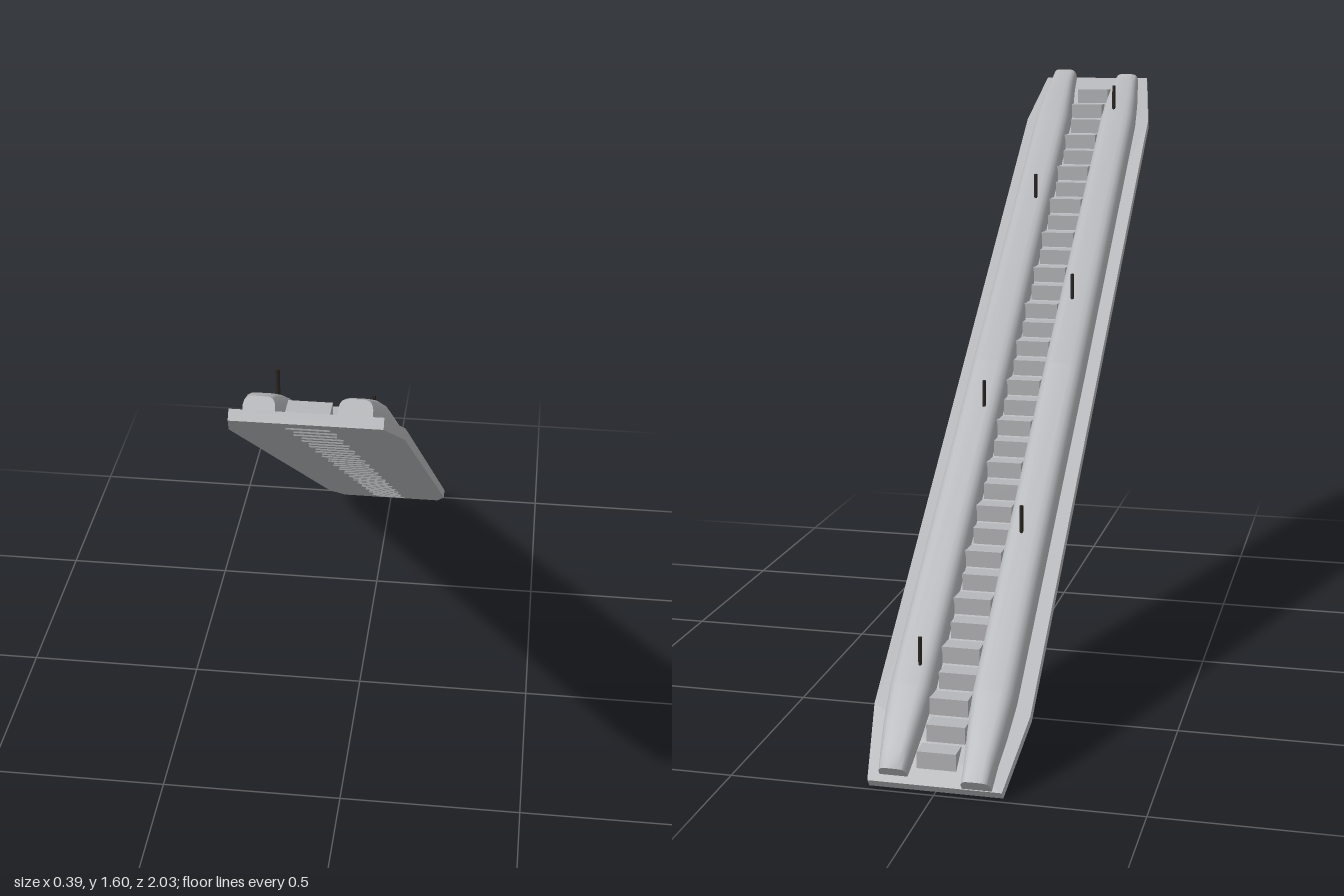
import * as THREE from 'three';
import { toCreasedNormals } from 'three/addons/utils/BufferGeometryUtils.js';

const SLOPE = Math.atan(0.78);

// Long rail lofted from cross-sections: [position, inner x, outer x, height]
function railGeometry() {
  const stations = [
    [-1.245, 0.068, 0.136, 0.034], [-1.2, 0.063, 0.141, 0.046], [-1.13, 0.056, 0.149, 0.053],
    [-1.03, 0.049, 0.156, 0.057], [0, 0.046, 0.158, 0.057], [1.03, 0.049, 0.156, 0.057],
    [1.13, 0.056, 0.149, 0.053], [1.2, 0.063, 0.141, 0.046], [1.262, 0.066, 0.138, 0.037],
  ];
  // Rounded section: across 0..1, up 0..1
  const section = [[0, 0], [0, 0.45], [0.03, 0.7], [0.09, 0.88], [0.18, 0.97], [0.3, 1],
    [0.7, 1], [0.82, 0.97], [0.91, 0.88], [0.97, 0.7], [1, 0.45], [1, 0]];
  const n = section.length, pos = [], idx = [];
  for (const [s, xi, xo, h] of stations)
    for (const [u, v] of section) pos.push(xi + (xo - xi) * u, v * h - 0.004, s);
  for (let i = 0; i < stations.length - 1; i++)
    for (let j = 0; j < n; j++) {
      const a = i * n + j, b = i * n + (j + 1) % n, c = a + n, d = b + n;
      idx.push(a, c, b, b, c, d);
    }
  const last = (stations.length - 1) * n;
  for (let j = 1; j < n - 1; j++) {
    idx.push(0, j, j + 1);
    idx.push(last, last + j + 1, last + j);
  }
  const g = new THREE.BufferGeometry();
  g.setAttribute('position', new THREE.Float32BufferAttribute(pos, 3));
  g.setIndex(idx);
  return toCreasedNormals(g, 0.7);
}

export function createModel() {
  const model = new THREE.Group();
  model.name = 'slopingStairway';
  const grey = new THREE.MeshStandardMaterial({ color: 0xb6b7ba });
  grey.name = 'light grey';
  const dark = new THREE.MeshStandardMaterial({ color: 0x2b2624 });
  dark.name = 'dark post';

  const add = (parent, geometry, material, name) => {
    const mesh = new THREE.Mesh(geometry, material);
    mesh.name = name;
    parent.add(mesh);
    return mesh;
  };

  // Inclined deck and rails, rising toward the front
  const incline = new THREE.Group();
  incline.name = 'incline';
  incline.position.y = 0.8;
  incline.rotation.x = -SLOPE;
  model.add(incline);

  // Thin base slab with tapered ends
  const outline = new THREE.Shape([
    [-0.162, -1.264], [0.162, -1.264], [0.193, -1.06], [0.193, 1.06],
    [0.162, 1.264], [-0.162, 1.264], [-0.193, 1.06], [-0.193, -1.06],
  ].map(([x, y]) => new THREE.Vector2(x, y)));
  const slab = new THREE.ExtrudeGeometry(outline, { depth: 0.025, bevelEnabled: false });
  slab.rotateX(Math.PI / 2);
  add(incline, slab, grey, 'baseSlab').position.y = -0.002;

  // Pair of rounded rails
  const rail = railGeometry();
  add(incline, rail, grey, 'leftRail');
  add(incline, rail, grey, 'rightRail').rotation.y = Math.PI;

  // Level steps passing through the slab, slightly staggered
  const steps = new THREE.Group();
  steps.name = 'steps';
  model.add(steps);
  const step = new THREE.BoxGeometry(0.095, 0.042, 0.05);
  for (let i = 0; i < 34; i++) {
    const z = -0.939 + i * 0.0564;
    add(steps, step, grey, 'step').position.set(i % 2 ? -0.005 : 0.003, 0.802 + 0.78 * z, z);
  }

  // Upright posts alternating between the rails
  const post = new THREE.CylinderGeometry(0.005, 0.005, 0.09, 8);
  for (let i = 0; i < 6; i++) {
    const z = -0.8 + i * 0.32;
    add(model, post, dark, 'post').position.set(i % 2 ? -0.09 : 0.087, 0.89 + 0.781 * z, z);
  }
  return model;
}
